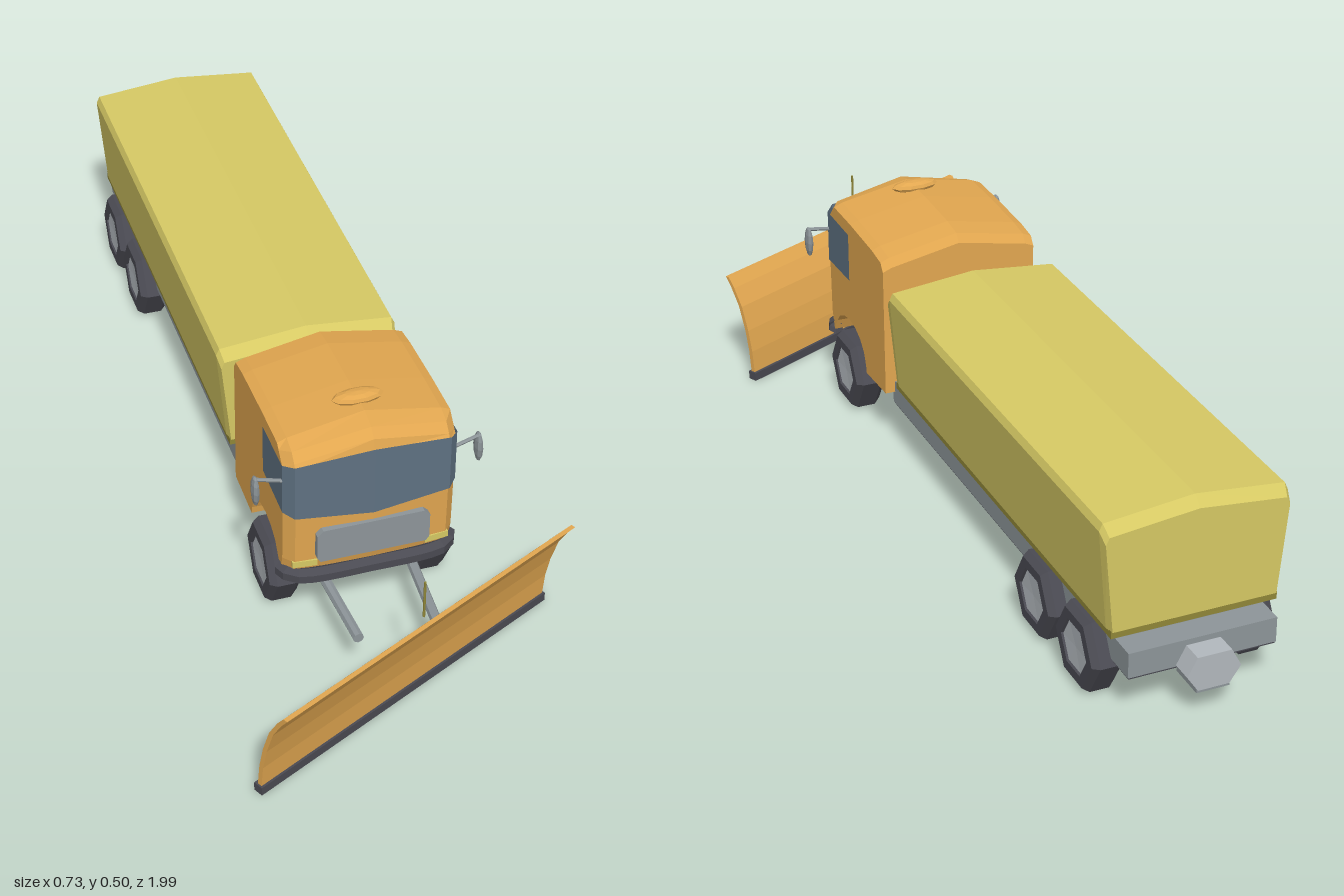
import * as THREE from 'three';

const mat = (color) => new THREE.MeshStandardMaterial({ color, flatShading: true, side: THREE.DoubleSide });
const ORANGE = mat(0xe2a750), YELLOW = mat(0xd6c964), OLIVE = mat(0x8f8638), GLASS = mat(0x5f7182),
  DARK = mat(0x4a4a52), GREY = mat(0x8d9599), LIGHT = mat(0xb2b8bd);

const V = (x, y, z) => new THREE.Vector3(x, y, z);

function add(parent, name, geometry, material, x = 0, y = 0, z = 0) {
  const mesh = new THREE.Mesh(geometry, material);
  mesh.name = name;
  mesh.position.set(x, y, z);
  parent.add(mesh);
  return mesh;
}

// Box given by its limits, centred on x
function box(parent, name, material, halfX, y0, y1, z0, z1) {
  return add(parent, name, new THREE.BoxGeometry(2 * halfX, y1 - y0, z1 - z0), material, 0, (y0 + y1) / 2, (z0 + z1) / 2);
}

// Round bar between two points
function bar(parent, name, material, a, b, r, sides = 8) {
  const mesh = add(parent, name, new THREE.CylinderGeometry(r, r, a.distanceTo(b), sides), material);
  mesh.position.copy(a).lerp(b, 0.5);
  mesh.quaternion.setFromUnitVectors(V(0, 1, 0), b.clone().sub(a).normalize());
  return mesh;
}

function warp(geometry, rule) {
  const p = geometry.attributes.position, v = V(0, 0, 0);
  for (let i = 0; i < p.count; i++) {
    rule(v.fromBufferAttribute(p, i));
    p.setXYZ(i, v.x, v.y, v.z);
  }
  geometry.computeVertexNormals();
  return geometry;
}

// Rows across the cab: position, how far the nose recedes, how far the roof drops
const ROWS = [
  { x: 0, back: 0, drop: 0 },
  { x: 0.155, back: 0.008, drop: 0.03 },
  { x: 0.174, back: 0.03, drop: 0.038 },
];

// Cab: side profile with a wheel arch, extruded across and bent to a ridge and a V nose
function makeCab(parent) {
  const s = new THREE.Shape();
  s.moveTo(0.185, 0.125);
  s.lineTo(0.3, 0.12);
  for (let i = 0; i <= 8; i++) {
    const a = Math.PI * (0.95 - 0.9 * i / 8);
    s.lineTo(0.4 + 0.098 * Math.cos(a), 0.125 + 0.08 * Math.sin(a));
  }
  for (const [z, y] of [[0.53, 0.14], [0.541, 0.18], [0.545, 0.3], [0.545, 0.425], [0.537, 0.455], [0.52, 0.472],
    [0.48, 0.482], [0.38, 0.481], [0.25, 0.475], [0.2, 0.468], [0.187, 0.45]]) s.lineTo(z, y);
  const g = new THREE.ExtrudeGeometry(s, { depth: 4, steps: 4, bevelEnabled: false });
  g.translate(0, 0, -2).rotateY(-Math.PI / 2);
  warp(g, (v) => {
    const k = Math.round(v.x), row = ROWS[Math.abs(k)];
    v.x = Math.sign(k) * row.x;
    if (v.z > 0.51) v.z -= row.back;
    if (v.y > 0.44) v.y -= row.drop;
    else if (v.y > 0.4) v.y -= row.drop * 0.4;
  });
  add(parent, 'cab', g, ORANGE);

  // Wrap-around windscreen and side windows in one strip
  const cols = [[0.176, 0.305, 0.415, 0.39], [0.176, 0.302, 0.418, 0.518], [0.157, 0.297, 0.424, 0.54], [0, 0.282, 0.438, 0.548]];
  const strip = [...cols.map(([x, a, b, z]) => [-x, a, b, z]), ...cols.slice(0, 3).reverse()];
  const pos = [], index = [];
  strip.forEach(([x, a, b, z], i) => {
    pos.push(x, a, z, x, b, z);
    if (i) index.push(2 * i - 2, 2 * i, 2 * i + 1, 2 * i - 2, 2 * i + 1, 2 * i - 1);
  });
  const glass = new THREE.BufferGeometry();
  glass.setAttribute('position', new THREE.Float32BufferAttribute(pos, 3));
  glass.setIndex(index);
  glass.computeVertexNormals();
  add(parent, 'windows', glass, GLASS);

  // Grille with clipped upper corners
  const gr = new THREE.Shape([[-0.108, 0.185], [0.108, 0.185], [0.115, 0.195], [0.115, 0.25], [0.103, 0.262],
    [-0.103, 0.262], [-0.115, 0.25], [-0.115, 0.195]].map(([x, y]) => new THREE.Vector2(x, y)));
  add(parent, 'grille', new THREE.ExtrudeGeometry(gr, { depth: 0.02, bevelEnabled: false }), GREY, 0, 0, 0.531);

  // Bumper curving round the corners
  const path = new THREE.CatmullRomCurve3([V(-0.174, 0.143, 0.495), V(-0.155, 0.143, 0.527), V(0, 0.143, 0.538),
    V(0.155, 0.143, 0.527), V(0.174, 0.143, 0.495)]);
  add(parent, 'bumper', new THREE.TubeGeometry(path, 16, 0.017, 6), DARK);

  // Beacon on the roof
  const beacon = new THREE.SphereGeometry(1, 10, 6);
  beacon.scale(0.053, 0.013, 0.022);
  add(parent, 'beacon', beacon, ORANGE, 0, 0.484, 0.437);

  for (const side of [-1, 1]) {
    const lamp = add(parent, 'headlight', new THREE.BoxGeometry(0.05, 0.014, 0.012), YELLOW, side * 0.135, 0.175, 0.531);
    lamp.rotation.y = side * 0.1;
    bar(parent, 'mirrorArm', GREY, V(side * 0.172, 0.378, 0.515), V(side * 0.228, 0.389, 0.508), 0.004, 6);
    const mirror = new THREE.SphereGeometry(1, 8, 6);
    mirror.scale(0.008, 0.035, 0.018);
    add(parent, 'mirror', mirror, GREY, side * 0.226, 0.36, 0.506);
  }
}

// Cargo body: ridged cross-section with softened ends
function makeCargo(parent) {
  const s = new THREE.Shape([[-0.172, 0.178], [0.172, 0.178], [0.19, 0.385], [0.183, 0.4], [0, 0.419],
    [-0.183, 0.4], [-0.19, 0.385]].map(([x, y]) => new THREE.Vector2(x, y)));
  const g = new THREE.ExtrudeGeometry(s, { depth: 3, steps: 3, bevelEnabled: false });
  const zs = [-0.92, -0.9, 0.11, 0.132];
  warp(g, (v) => {
    const k = Math.round(v.z);
    v.z = zs[k];
    if (k % 3 === 0) {
      v.x *= 0.975;
      if (v.y > 0.38) v.y -= 0.02;
    }
  });
  add(parent, 'cargoBody', g, YELLOW);
  box(parent, 'cargoBase', OLIVE, 0.17, 0.164, 0.18, -0.918, 0.13);
}

// Six-sided wheel with a recessed rim facing outward
function makeWheel(parent, name, side, z) {
  const wheel = new THREE.Group();
  wheel.name = name;
  const tyre = [[0, -0.034], [0.074, -0.034], [0.088, -0.02], [0.088, 0.02], [0.078, 0.034], [0.055, 0.034], [0.053, 0.026]];
  const rim = [[0.056, 0.027], [0.05, 0.031], [0, 0.029]];
  const lathe = (pts) => new THREE.LatheGeometry(pts.map(([r, y]) => new THREE.Vector2(r, y)), 6);
  add(wheel, 'tyre', lathe(tyre), DARK);
  add(wheel, 'rim', lathe(rim), LIGHT);
  wheel.rotation.z = -side * Math.PI / 2;
  wheel.position.set(side * 0.156, 0.083, z);
  parent.add(wheel);
}

// Angled plough: curved plate, cutting edge and marker
function makePlough(parent) {
  const plough = new THREE.Group();
  plough.name = 'plough';
  const curve = [[0, 0.015], [0.005, 0.07], [0.015, 0.12], [0.032, 0.175], [0.054, 0.215], [0.07, 0.237]];
  const s = new THREE.Shape([...curve, ...curve.slice().reverse().map(([z, y]) => [z - 0.01, y])]
    .map(([z, y]) => new THREE.Vector2(z, y)));
  const g = new THREE.ExtrudeGeometry(s, { depth: 0.765, bevelEnabled: false });
  g.translate(0, 0, -0.3825).rotateY(-Math.PI / 2);
  add(plough, 'ploughBlade', g, ORANGE, 0, 0, 0.005);
  box(plough, 'cuttingEdge', DARK, 0.386, 0, 0.019, -0.011, 0.01);
  plough.position.set(-0.0135, 0, 0.757);
  plough.rotation.y = 0.453;
  parent.add(plough);
  bar(parent, 'ploughMarker', OLIVE, V(-0.012, 0.265, 0.834), V(-0.012, 0.35, 0.834), 0.0025, 6);
}

export function createModel() {
  const model = new THREE.Group();
  model.name = 'snowPloughTruck';
  const truck = new THREE.Group();
  truck.name = 'truck';
  truck.position.x = -0.0125;
  model.add(truck);

  makeCab(truck);
  makeCargo(truck);

  // Chassis
  box(truck, 'chassis', GREY, 0.152, 0.097, 0.15, -0.955, 0.195);
  box(truck, 'chassisUnderside', DARK, 0.15, 0.093, 0.098, -0.953, 0.193);
  box(truck, 'cargoSupport', GREY, 0.13, 0.148, 0.166, -0.9, 0.1);

  // Rear spreader
  const hex = new THREE.Shape([[-0.055, 0.1], [-0.032, 0.066], [0.032, 0.066], [0.055, 0.1], [0.035, 0.138], [-0.035, 0.138]]
    .map(([x, y]) => new THREE.Vector2(x, y)));
  add(truck, 'spreader', new THREE.ExtrudeGeometry(hex, { depth: 0.075, bevelEnabled: false }), LIGHT, 0, 0, -1);
  box(truck, 'spreaderBase', GREY, 0.034, 0.06, 0.07, -0.998, -0.92);

  for (const side of [-1, 1]) {
    makeWheel(truck, 'frontWheel', side, 0.4);
    for (const z of [-0.615, -0.805]) makeWheel(truck, 'rearWheel', side, z);
    bar(truck, 'ploughArm', GREY, V(side * 0.092, 0.11, 0.49), V(side * 0.079, 0.11, 0.7), 0.011);
  }

  makePlough(model);
  return model;
}
